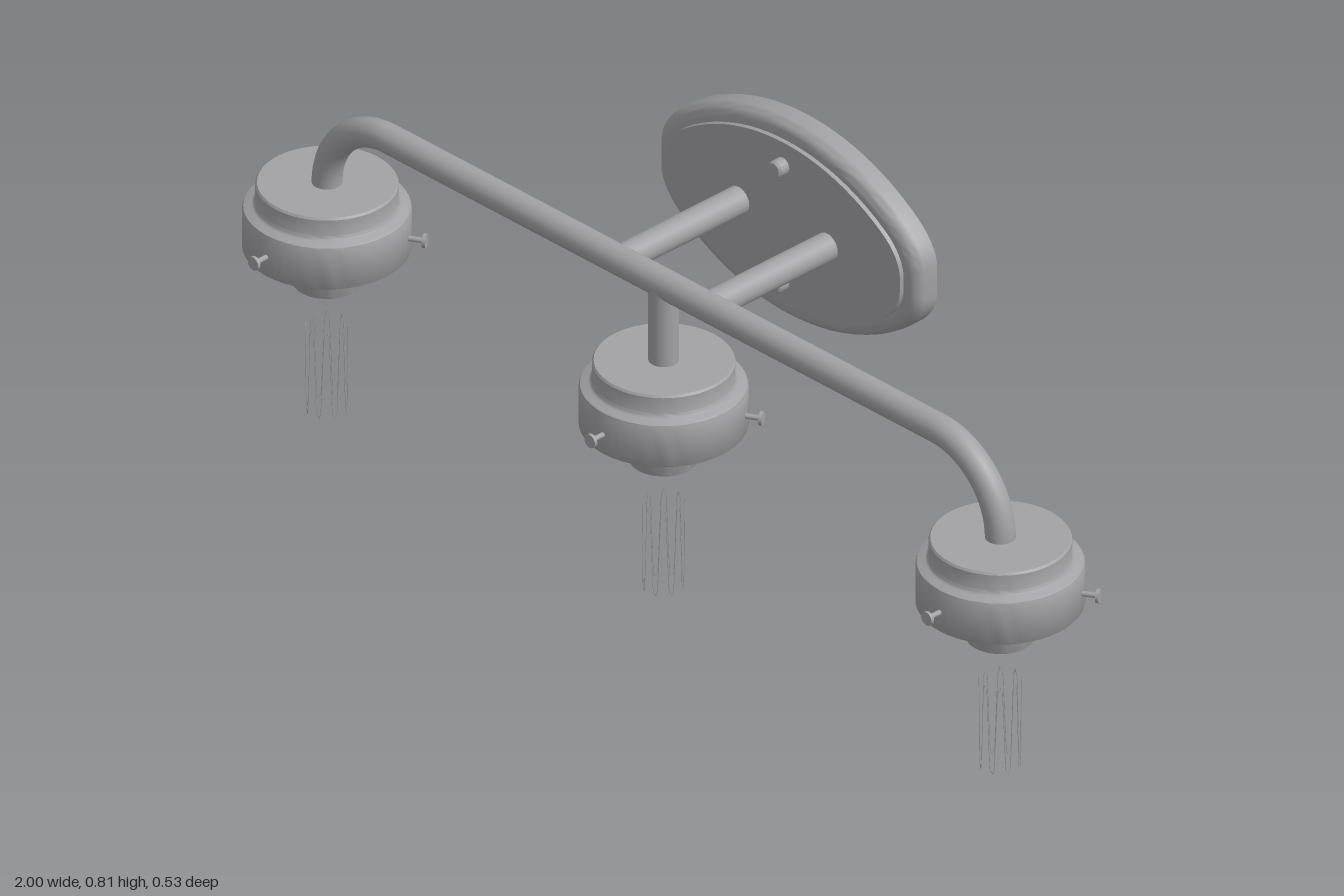
import * as THREE from 'three';
import { toCreasedNormals } from 'three/addons/utils/BufferGeometryUtils.js';

const ARM_Y = 0.607, ARM_Z = 0.085, SIDE_X = 0.837, TUBE_R = 0.027;
const BACK_Z = -0.265, FRONT_Z = -0.205;

const metal = new THREE.MeshStandardMaterial({ color: 0xa2a2a6 });
metal.name = 'satin metal grey';

const vec = (x, y, z) => new THREE.Vector3(x, y, z);

function add(parent, name, geometry, x = 0, y = 0, z = 0) {
  const mesh = new THREE.Mesh(geometry, metal);
  mesh.name = name;
  mesh.position.set(x, y, z);
  parent.add(mesh);
  return mesh;
}

const lathe = (points, segments = 48) => toCreasedNormals(
  new THREE.LatheGeometry(points.map(([r, y]) => new THREE.Vector2(r, y)), segments), 0.6);

// Cylinder pointing along +z, centred on its length
const rod = (radius, length, sides = 24) =>
  new THREE.CylinderGeometry(radius, radius, length, sides).rotateX(Math.PI / 2);

// Barrel-shaped plate outline, moved inward by d, counter-clockwise
function plateOutline(d) {
  const R = 0.46 - d, w = 0.325 - d, cy = 0.198 - 0.46, a = 0.61;
  const end = new THREE.Vector2(R * Math.sin(a), cy + R * Math.cos(a));
  const corner = new THREE.Vector2(w, end.y - (w - end.x) * Math.tan(a));
  const side = new THREE.Vector2(w, corner.y - 0.045);
  const quarter = new THREE.QuadraticBezierCurve(side, corner, end).getPoints(8);
  for (let i = 11; i >= 0; i--) {
    const t = a * i / 12;
    quarter.push(new THREE.Vector2(R * Math.sin(t), cy + R * Math.cos(t)));
  }
  const mirrored = [...quarter].reverse().slice(1).map(p => new THREE.Vector2(-p.x, p.y));
  const top = [...quarter, ...mirrored];
  return [...top, ...top.map(p => new THREE.Vector2(-p.x, -p.y))];
}

// Wall plate: outline rings joined from the flat back over a rounded rim to the raised panel
function plateGeometry() {
  const rings = [[null, BACK_Z], [0.003, BACK_Z], [0, BACK_Z + 0.003]];
  for (let i = 0; i <= 6; i++) {
    const t = (i / 6) * Math.PI / 2;
    rings.push([0.025 * (1 - Math.cos(t)), -0.238 + 0.025 * Math.sin(t)]);
  }
  rings.push([0.033, -0.213], [0.034, FRONT_Z], [null, FRONT_Z]);
  const count = plateOutline(0).length;
  const positions = [], index = [];
  rings.forEach(([d, z], j) => {
    const outline = plateOutline(d ?? 0);
    for (const p of outline) positions.push(d === null ? 0 : p.x, d === null ? 0 : p.y, z);
    if (j === 0) return;
    for (let i = 0; i < count; i++) {
      const k = (i + 1) % count;
      const a = (j - 1) * count + i, b = (j - 1) * count + k;
      const c = j * count + k, e = j * count + i;
      if (rings[j - 1][0] !== null) index.push(a, b, c);
      if (d !== null) index.push(a, c, e);
    }
  });
  const g = new THREE.BufferGeometry();
  g.setAttribute('position', new THREE.Float32BufferAttribute(positions, 3));
  g.setIndex(index);
  return toCreasedNormals(g, 0.6);
}

// Zigzag wire wound round a small cylinder
function filamentGeometry() {
  const points = [], turns = 8;
  for (let i = 0; i < turns * 2; i++) {
    const up = i % 2 === 0;
    for (const s of [-0.28, 0.28]) {
      const t = (i + s) * Math.PI / turns;
      points.push(vec(0.037 * Math.cos(t), up ? 0.157 : 0.003, 0.037 * Math.sin(t)));
    }
  }
  const path = new THREE.CatmullRomCurve3(points, true, 'catmullrom', 0.3);
  return new THREE.TubeGeometry(path, 256, 0.0008, 4, true);
}

// Hollow stepped cup, open at the bottom
const cupGeometry = lathe([
  [0, 0.443], [0.117, 0.443], [0.117, 0.402], [0.141, 0.398], [0.141, 0.322],
  [0.146, 0.322], [0.148, 0.325], [0.148, 0.4], [0.146, 0.405], [0.141, 0.408],
  [0.131, 0.41], [0.127, 0.413], [0.125, 0.418], [0.125, 0.449], [0.122, 0.453], [0, 0.453],
]);
const socketGeometry = lathe([[0, 0.251], [0.06, 0.251], [0.061, 0.253], [0.061, 0.445], [0, 0.445]], 32);
const wireGeometry = filamentGeometry();

function lampHolder(name, x) {
  const holder = new THREE.Group();
  holder.name = name;
  holder.position.set(x, 0, ARM_Z);
  add(holder, 'cup', cupGeometry);
  add(holder, 'socket', socketGeometry);
  add(holder, 'filament', wireGeometry);
  // Three thumb screws, one facing forward
  for (let i = 0; i < 3; i++) {
    const screw = new THREE.Group();
    screw.name = 'thumbScrew';
    screw.rotation.y = i * Math.PI * 2 / 3;
    add(screw, 'screwShaft', rod(0.005, 0.05, 12), 0, 0.362, 0.153);
    add(screw, 'screwHead', rod(0.013, 0.006, 20), 0, 0.362, 0.177);
    holder.add(screw);
  }
  return holder;
}

export function createModel() {
  const model = new THREE.Group();
  model.name = 'threeLightWallFixture';

  // Wall plate with two cap nuts
  add(model, 'wallPlate', plateGeometry(), 0, ARM_Y, 0);
  const nut = lathe([[0, 0], [0.016, 0], [0.016, 0.02], [0.013, 0.025], [0, 0.026]], 20).rotateX(Math.PI / 2);
  for (const s of [-1, 1]) add(model, 'capNut', nut, 0, ARM_Y + s * 0.117, FRONT_Z - 0.002);

  // Long arm bent down at both ends
  const bend = 0.155, arm = new THREE.CurvePath();
  const outX = SIDE_X, inX = SIDE_X - bend, low = ARM_Y - bend;
  const k = bend * 0.5523;
  arm.add(new THREE.LineCurve3(vec(-outX, 0.445, 0), vec(-outX, low, 0)));
  arm.add(new THREE.CubicBezierCurve3(vec(-outX, low, 0), vec(-outX, low + k, 0), vec(-inX - k, ARM_Y, 0), vec(-inX, ARM_Y, 0)));
  arm.add(new THREE.LineCurve3(vec(-inX, ARM_Y, 0), vec(inX, ARM_Y, 0)));
  arm.add(new THREE.CubicBezierCurve3(vec(inX, ARM_Y, 0), vec(inX + k, ARM_Y, 0), vec(outX, low + k, 0), vec(outX, low, 0)));
  arm.add(new THREE.LineCurve3(vec(outX, low, 0), vec(outX, 0.445, 0)));
  add(model, 'bentArm', new THREE.TubeGeometry(arm, 160, TUBE_R, 24), 0, 0, ARM_Z);

  // Centre drop and the two rods to the wall plate
  const drop = ARM_Y - 0.445;
  add(model, 'centreDrop', new THREE.CylinderGeometry(TUBE_R, TUBE_R, drop, 24), 0, ARM_Y - drop / 2, ARM_Z);
  const reach = ARM_Z - FRONT_Z + 0.005;
  for (const s of [-1, 1]) add(model, 'supportRod', rod(0.0265, reach), s * 0.11, ARM_Y, ARM_Z - reach / 2);

  model.add(lampHolder('rightLampHolder', -SIDE_X), lampHolder('centreLampHolder', 0), lampHolder('leftLampHolder', SIDE_X));
  return model;
}
